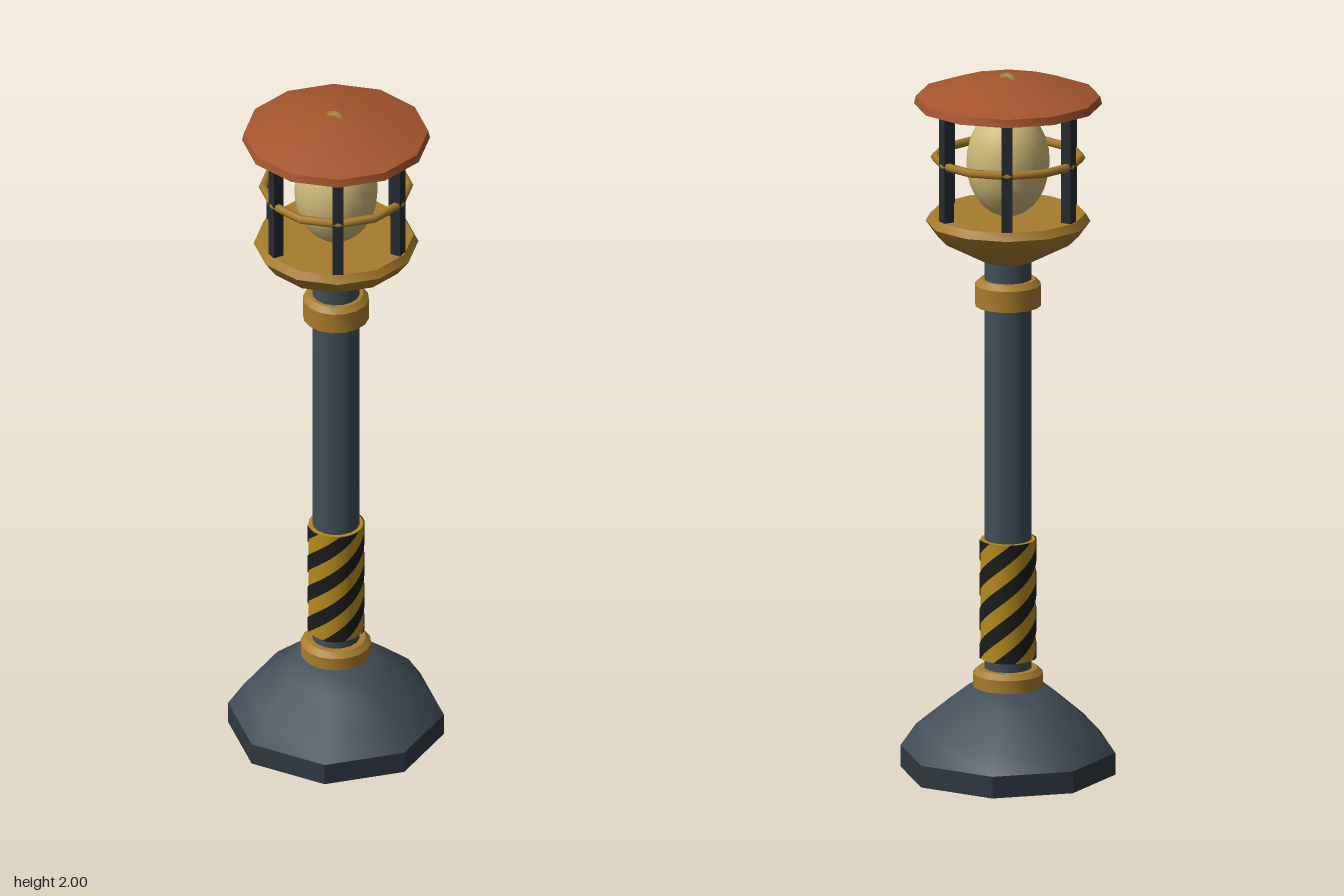
import * as THREE from 'three';
import { toCreasedNormals } from 'three/addons/utils/BufferGeometryUtils.js';
import { ParametricGeometry } from 'three/addons/geometries/ParametricGeometry.js';

const paint = (color) => new THREE.MeshStandardMaterial({ color });
const steel = paint(0x424e58);
const darkSteel = paint(0x2f383f);
const iron = paint(0x262c32);
const brass = paint(0xa87c2c);
const copper = paint(0xa5552d);
const yellow = paint(0xb58a1c);
const black = paint(0x1b1b1d);
black.side = THREE.DoubleSide;
const glass = paint(0xcdb878);

export function createModel() {
  const model = new THREE.Group();

  function add(name, geometry, material, y = 0) {
    const mesh = new THREE.Mesh(geometry, material);
    mesh.name = name;
    mesh.position.y = y;
    model.add(mesh);
    return mesh;
  }

  // Turned part from [radius, height] points, listed from the bottom up
  function turned(name, points, sides, material, crease = 0.6, start = 0) {
    const profile = points.map(([r, y]) => new THREE.Vector2(r, y));
    const geometry = new THREE.LatheGeometry(profile, sides, start);
    return add(name, toCreasedNormals(geometry, crease), material);
  }

  // Octagonal foot
  turned('plinth', [[0, 0], [0.3, 0], [0.3, 0.062], [0, 0.062]], 8, darkSteel, 0.3, Math.PI / 8);
  turned('footDome', [[0.3, 0.062], [0.257, 0.125], [0.166, 0.2], [0.108, 0.245], [0, 0.25]],
    8, steel, 0.9, Math.PI / 8);

  // Column with its two brass collars
  add('column', new THREE.CylinderGeometry(0.066, 0.066, 1.27, 16), steel, 0.865);
  const collar = (name, r, y0, y1) => turned(name,
    [[0, y0], [r, y0], [r, y1 - 0.015], [r - 0.015, y1], [0, y1]], 16, brass);
  collar('lowerCollar', 0.098, 0.243, 0.297);
  collar('upperCollar', 0.092, 1.335, 1.41);

  // Warning sleeve with four spiral bands
  const y0 = 0.325, height = 0.34, pitch = 0.4, bands = 4;
  add('warningSleeve', new THREE.CylinderGeometry(0.076, 0.076, height, 24), yellow, y0 + height / 2);
  for (let i = 0; i < bands; i++) {
    const band = new ParametricGeometry((u, v, target) => {
      const a = 2 * Math.PI * (i / bands + u * height / pitch + v * 0.5 / bands);
      target.set(0.079 * Math.sin(a), y0 + u * height, 0.079 * Math.cos(a));
    }, 28, 4);
    add('spiralBand', band, black);
  }

  // Lamp bowl and globe
  turned('lampBowl', [[0, 1.463], [0.07, 1.463], [0.195, 1.53], [0.228, 1.575], [0.215, 1.597], [0, 1.597]],
    12, brass);
  add('globe', new THREE.SphereGeometry(0.116, 20, 14).scale(1, 1.34, 1), glass, 1.745);

  // Cage of six bars and a hoop
  for (let i = 0; i < 6; i++) {
    const a = i * Math.PI / 3;
    const bar = add('cageBar', new THREE.BoxGeometry(0.03, 0.325, 0.03), iron, 1.753);
    bar.position.x = 0.195 * Math.cos(a);
    bar.position.z = 0.195 * Math.sin(a);
    bar.rotation.y = -a;
  }
  add('cageHoop', new THREE.TorusGeometry(0.202, 0.012, 6, 12).rotateX(Math.PI / 2), brass, 1.757);

  // Roof with a small lifting eye
  turned('roof', [[0, 1.91], [0.26, 1.91], [0.255, 1.932], [0.148, 1.968], [0.04, 1.984], [0, 1.985]],
    12, copper);
  add('liftingEye', new THREE.TorusGeometry(0.025, 0.012, 6, 12), brass, 1.963);

  return model;
}
